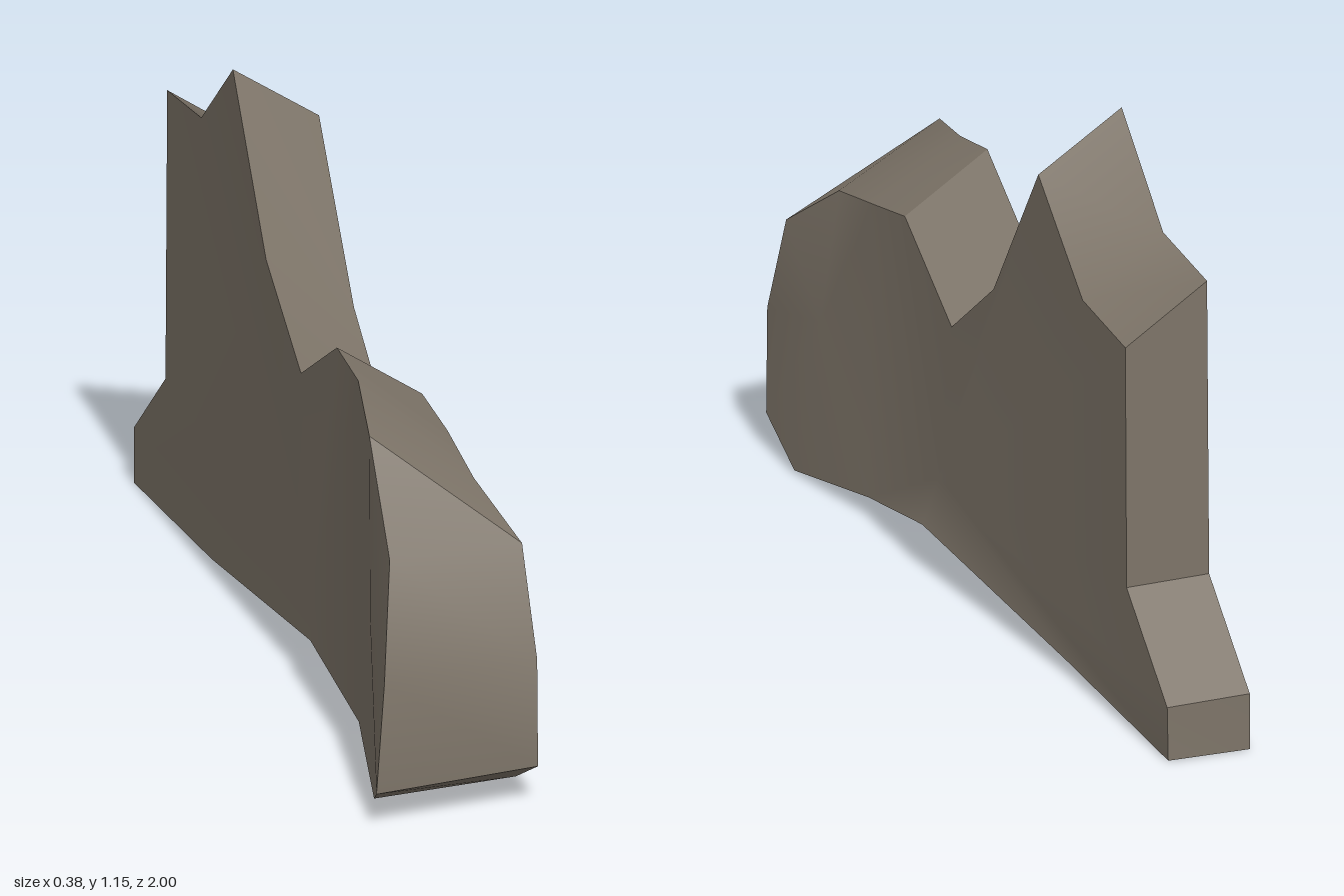
import * as THREE from 'three';
import { toCreasedNormals } from 'three/addons/utils/BufferGeometryUtils.js';

// Outline of each side as [x, y, z]: up the front, over the peaks, down the back, along the underside
const LEFT = [
  [0.165, 0.08, 0.975], [0.165, 0.31, 0.97], [0.165, 0.53, 0.88], [0.11, 0.63, 0.745],
  [0.12, 0.665, 0.56], [0.12, 0.69, 0.41], [0.135, 0.54, 0.155], [0.147, 0.7, -0.07],
  [0.157, 1.03, -0.305], [0.168, 0.84, -0.54], [0.178, 0.815, -0.765], [0.18, 0.3, -0.775],
  [0.19, 0.115, -0.99], [0.19, 0.002, -0.995], [0.165, 0.03, -0.47], [0.175, 0.1, 0.21],
  [0.145, 0.045, 0.53], [0.17, 0.005, 0.83],
];
const RIGHT = [
  [-0.192, 0.075, 1], [-0.175, 0.31, 1], [-0.12, 0.53, 0.88], [-0.115, 0.75, 0.745],
  [-0.065, 0.79, 0.54], [-0.06, 0.81, 0.4], [-0.045, 0.66, 0.145], [-0.035, 0.82, -0.09],
  [-0.025, 1.15, -0.315], [-0.01, 0.96, -0.545], [0, 0.935, -0.775], [0, 0.305, -0.785],
  [0.01, 0.12, -1], [0.01, 0, -1], [-0.015, 0.03, -0.47], [-0.045, 0.1, 0.2],
  [-0.06, 0.045, 0.53], [-0.143, 0.005, 0.85],
];
// The broad sides are split into a flared front and a flat rear
const FRONT = [16, 17, 0, 1, 2, 3, 4];
const REAR = [4, 5, 6, 7, 8, 9, 10, 11, 12, 13, 14, 15, 16];

function creased(triangles, angle) {
  const geometry = new THREE.BufferGeometry();
  geometry.setAttribute('position', new THREE.Float32BufferAttribute(triangles.flat(2), 3));
  return toCreasedNormals(geometry, angle);
}

// Fan of triangles from an inner point to a loop of outline points
function fan(outline, loop, hub, flip) {
  return loop.map((index, k) => {
    const a = outline[index];
    const b = outline[loop[(k + 1) % loop.length]];
    return flip ? [hub, a, b] : [hub, b, a];
  });
}

export function createModel() {
  const model = new THREE.Group();
  model.name = 'rockSlab';
  const stone = new THREE.MeshStandardMaterial({ color: 0x7d7468 });
  stone.name = 'stone';

  const add = (name, triangles, angle) => {
    const mesh = new THREE.Mesh(creased(triangles, angle), stone);
    mesh.name = name;
    model.add(mesh);
  };

  // Broad sides
  add('leftSide', [
    ...fan(LEFT, FRONT, [0.15, 0.35, 0.75], false),
    ...fan(LEFT, REAR, [0.143, 0.2, 0.2], false),
  ], 0.6);
  add('rightSide', [
    ...fan(RIGHT, FRONT, [-0.115, 0.35, 0.75], true),
    ...fan(RIGHT, REAR, [-0.045, 0.2, 0.2], true),
  ], 0.6);

  // Narrow band joining the two outlines
  const rim = [];
  LEFT.forEach((a, i) => {
    const j = (i + 1) % LEFT.length;
    rim.push([a, LEFT[j], RIGHT[j]], [a, RIGHT[j], RIGHT[i]]);
  });
  add('rim', rim, 0.55);

  return model;
}
